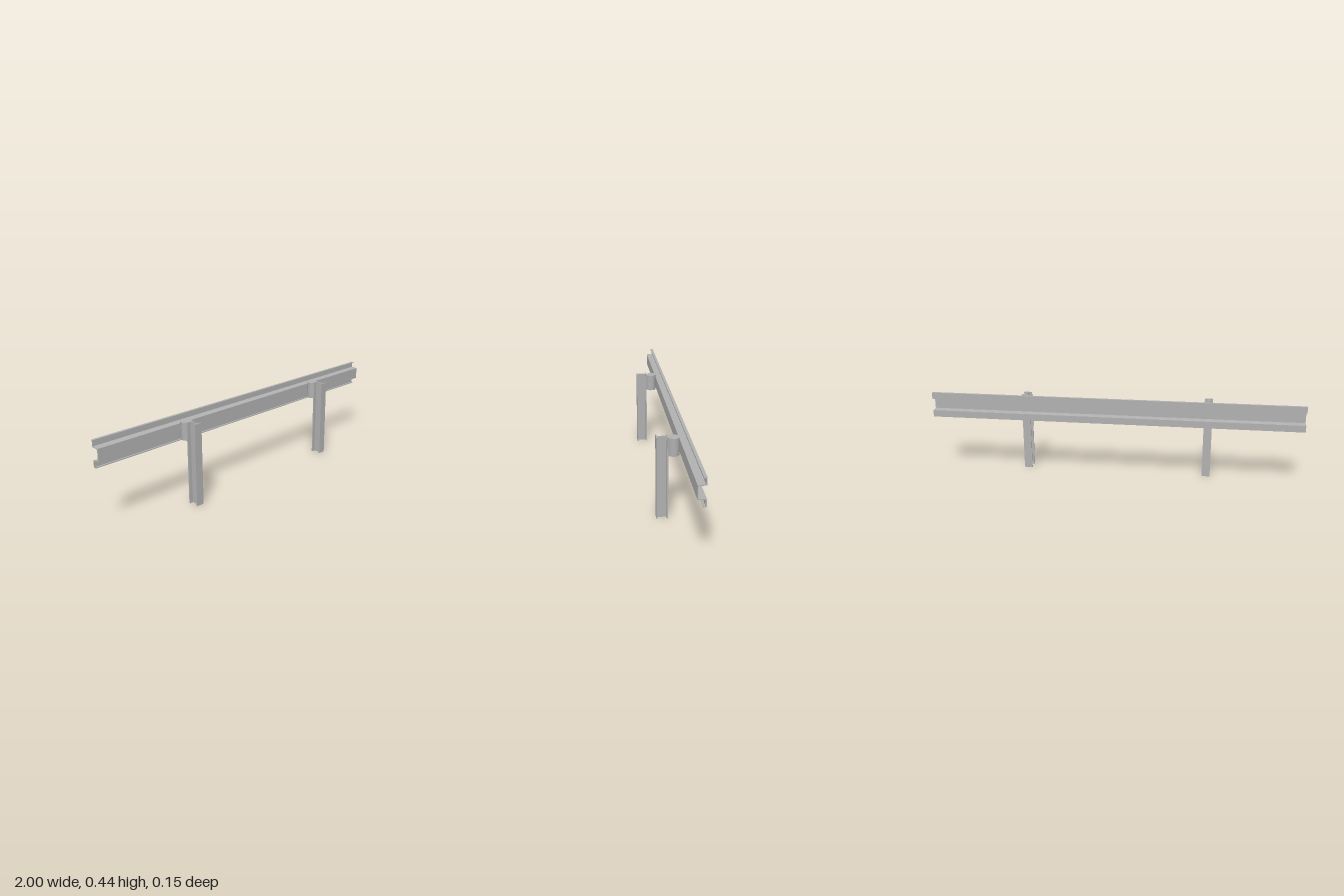
import * as THREE from 'three';

const steel = new THREE.MeshStandardMaterial({ color: 0xb0b0b0 });
steel.name = 'galvanised steel';

function addPart(parent, name, geometry, x = 0, y = 0, z = 0) {
  const mesh = new THREE.Mesh(geometry, steel);
  mesh.name = name;
  mesh.position.set(x, y, z);
  parent.add(mesh);
  return mesh;
}

// Folded beam: upper half of the section as [z, height above the centre line]
function railGeometry() {
  const front = [[-0.036, 0.032], [-0.0705, 0.036], [-0.0705, 0.0635], [-0.061, 0.0635]];
  const back = [[-0.061, 0.068], [-0.0755, 0.068], [-0.0755, 0.032], [-0.040, 0.028]];
  const upper = [...front, ...back];
  const lower = upper.map(([z, y]) => [z, -y]).reverse();
  const shape = new THREE.Shape([...upper, ...lower].map(([z, y]) => new THREE.Vector2(z, y)));
  const geometry = new THREE.ExtrudeGeometry(shape, { depth: 2, bevelEnabled: false });
  geometry.rotateY(-Math.PI / 2);
  geometry.translate(1, 0.377, 0);
  return geometry;
}

// I-section post standing on the ground
function postGeometry() {
  const f = 0.022, w = 0.003, d = 0.0288, t = 0.0228;
  const half = [[f, -d], [f, -t], [w, -t], [w, t], [f, t], [f, d]];
  const other = half.map(([x, z]) => [-x, z]).reverse();
  const shape = new THREE.Shape([...half, ...other].map(([x, z]) => new THREE.Vector2(x, z)));
  const geometry = new THREE.ExtrudeGeometry(shape, { depth: 0.428, bevelEnabled: false });
  geometry.rotateX(-Math.PI / 2);
  return geometry;
}

export function createModel() {
  const model = new THREE.Group();
  model.name = 'guardrail';

  addPart(model, 'rail', railGeometry());

  // Two posts, each with a round spacer block against the rail
  const post = postGeometry();
  const spacer = new THREE.CylinderGeometry(0.028, 0.028, 0.091, 12, 1, false, Math.PI / 12);
  spacer.scale(1.07, 1, 1.02);
  for (const x of [-0.5, 0.5]) {
    const support = new THREE.Group();
    support.name = x < 0 ? 'rightSupport' : 'leftSupport';
    support.position.x = x;
    addPart(support, 'post', post, 0, 0, 0.0482);
    addPart(support, 'spacer', spacer, 0, 0.3765, -0.0078);
    model.add(support);
  }
  return model;
}
